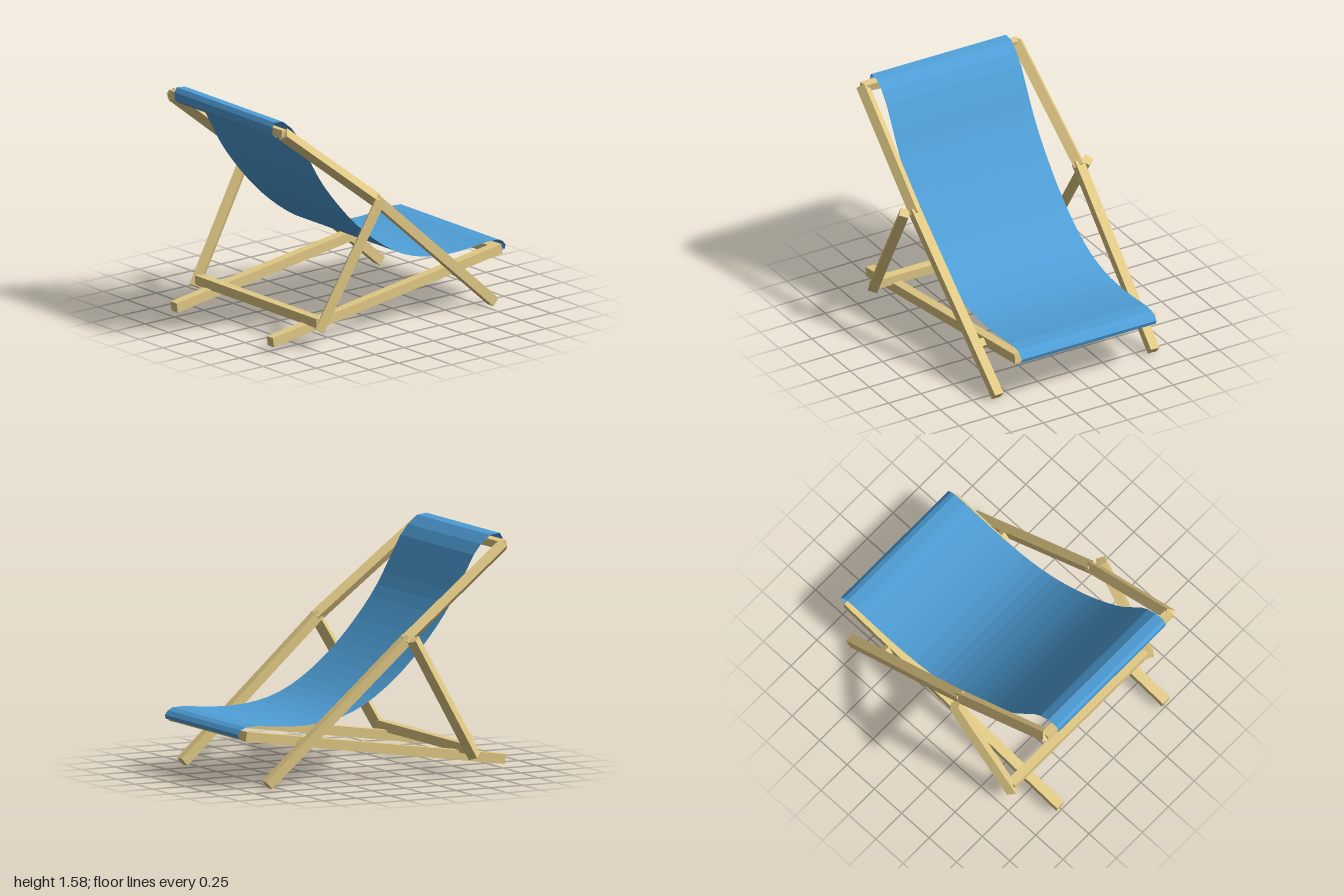
import * as THREE from 'three';

const WOOD = new THREE.MeshStandardMaterial({ color: 0xe3cb86, flatShading: true });
const CLOTH = new THREE.MeshStandardMaterial({ color: 0x4f9fd8, flatShading: true, side: THREE.DoubleSide });

// Square timber between two points (from low x to high x), rolled about its own length
function beam(name, a, b, size, roll = 0) {
  const start = new THREE.Vector3(...a), end = new THREE.Vector3(...b);
  const along = end.clone().sub(start);
  const mesh = new THREE.Mesh(new THREE.BoxGeometry(along.length(), size, size), WOOD);
  along.normalize();
  const up = new THREE.Vector3(0, 0, 1).cross(along).normalize();
  const side = along.clone().cross(up);
  mesh.quaternion.setFromRotationMatrix(new THREE.Matrix4().makeBasis(along, up, side));
  mesh.rotateX(-roll);
  mesh.position.copy(start).add(end).multiplyScalar(0.5);
  mesh.name = name;
  return mesh;
}

// Bar running across the chair, tilted in the side plane
function bar(name, x, y, z, length, size, tilt) {
  const mesh = new THREE.Mesh(new THREE.BoxGeometry(size, size, length), WOOD);
  mesh.position.set(x, y, z);
  mesh.rotation.z = tilt;
  mesh.name = name;
  return mesh;
}

// Cloth sheet following a profile in the side plane
function sling(width) {
  const sag = [
    [-0.895, 1.572], [-0.80, 1.49], [-0.70, 1.32], [-0.60, 1.14], [-0.49, 0.985], [-0.29, 0.76],
    [-0.09, 0.59], [0.10, 0.475], [0.28, 0.415], [0.50, 0.39], [0.72, 0.398], [0.88, 0.413], [0.94, 0.408],
  ];
  const curve = new THREE.CatmullRomCurve3(sag.map(([x, y]) => new THREE.Vector3(x, y, 0)), false, 'centripetal');
  const profile = [
    // hem round the top bar
    [-0.915, 1.485], [-0.955, 1.472], [-0.985, 1.50], [-0.985, 1.55], [-0.965, 1.58],
    ...curve.getSpacedPoints(26).map((p) => [p.x, p.y]),
    // hem round the front bar
    [0.975, 0.39], [1.0, 0.362], [0.992, 0.335], [0.96, 0.325],
  ];
  const n = profile.length;
  const geometry = new THREE.PlaneGeometry(1, 1, n - 1, 1);
  const pos = geometry.attributes.position;
  for (let i = 0; i < pos.count; i++) {
    const [x, y] = profile[i % n];
    pos.setXYZ(i, x, y, i < n ? -width / 2 : width / 2);
  }
  geometry.computeVertexNormals();
  const mesh = new THREE.Mesh(geometry, CLOTH);
  mesh.name = 'fabricSling';
  return mesh;
}

export function createModel() {
  const chair = new THREE.Group();
  chair.name = 'deckChair';

  // Paired timbers on both sides
  for (const s of [1, -1]) {
    const side = s > 0 ? 'Near' : 'Far';
    const roll = 0.65 * s;
    chair.add(
      beam('seatRail' + side, [-0.995, 0.065, 0.509 * s], [0.95, 0.348, 0.509 * s], 0.066),
      beam('frontLeg' + side, [-0.215, 0.942, 0.63 * s], [0.825, 0.024, 0.6 * s], 0.066),
      beam('backPost' + side, [-0.952, 1.515, 0.592 * s], [-0.19, 0.922, 0.63 * s], 0.066, roll),
      beam('backStrut' + side, [-0.70, 0.118, 0.66 * s], [-0.217, 0.94, 0.703 * s], 0.064, roll),
      bar('pivotBlock' + side, 0.543, 0.276, 0.556 * s, 0.07, 0.056, -0.72),
    );
  }

  // Crossbars
  chair.add(
    bar('topBar', -0.945, 1.513, 0, 1.2, 0.054, -0.15),
    bar('frontBar', 0.92, 0.343, 0, 1.0, 0.062, 0.145),
    bar('rearBar', -0.678, 0.167, 0, 1.29, 0.064, 0),
  );

  chair.add(sling(1.036));
  return chair;
}
